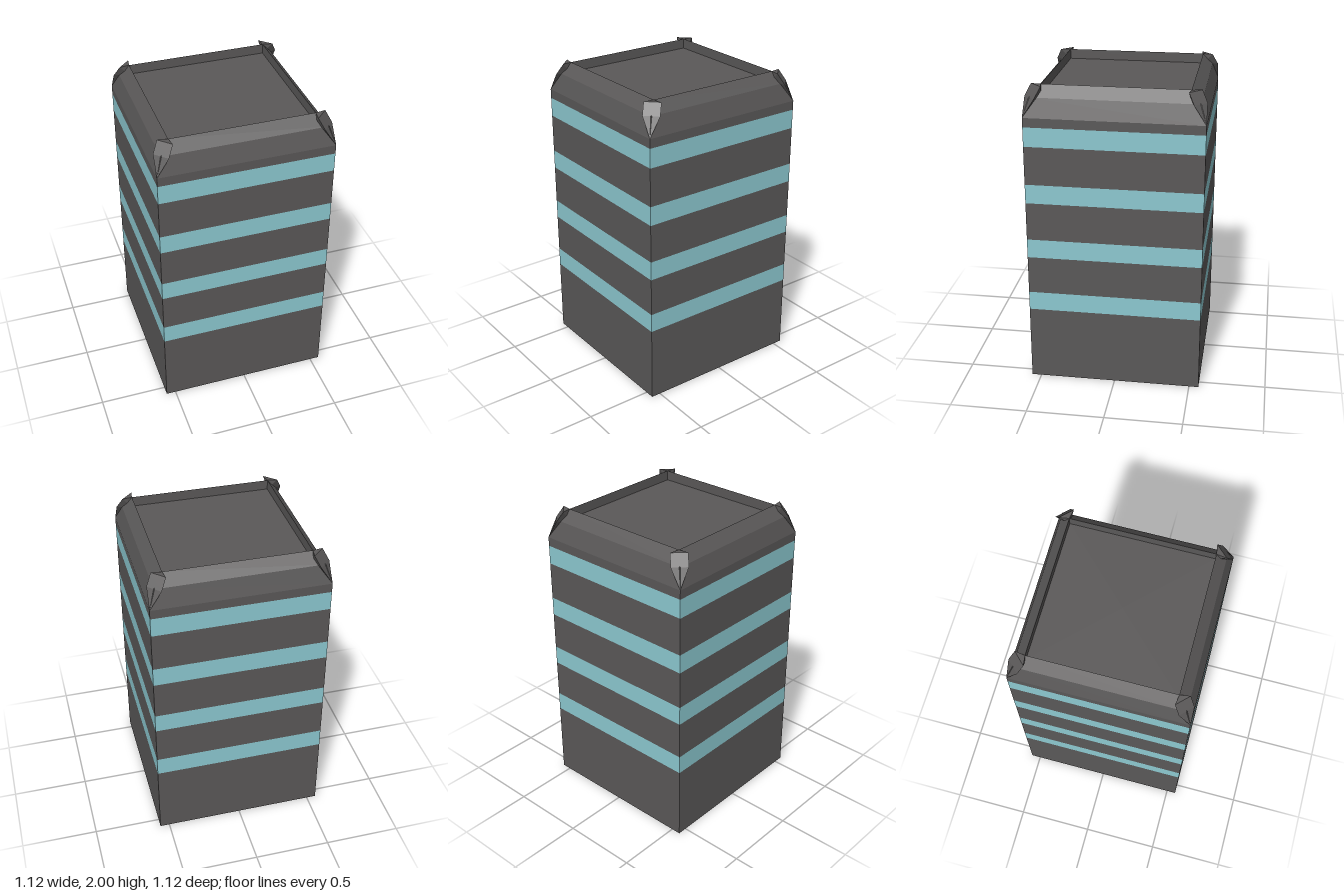
import * as THREE from 'three';
import { ConvexGeometry } from 'three/addons/geometries/ConvexGeometry.js';

const H = 0.5625; // half width of the tower
const wallMaterial = new THREE.MeshStandardMaterial({ color: 0x5a5858, flatShading: true });
const windowMaterial = new THREE.MeshStandardMaterial({ color: 0x8cc8d0, flatShading: true });

// Square shell swept from a [half width, height] profile
function squareShell(name, profile, material) {
  const points = profile.map(([h, y]) => new THREE.Vector2(h * Math.SQRT2, y));
  const geometry = new THREE.LatheGeometry(points, 4, Math.PI / 4).toNonIndexed();
  geometry.computeVertexNormals();
  const mesh = new THREE.Mesh(geometry, material);
  mesh.name = name;
  return mesh;
}

export function createModel() {
  const tower = new THREE.Group();
  tower.name = 'towerBlock';

  // Ground floor with its underside
  tower.add(squareShell('groundFloor', [[0, 0], [H, 0], [H, 0.5]], wallMaterial));

  // Window bands with wall storeys between them
  for (let i = 0; i < 4; i++) {
    const y = 0.5 + i * 0.375;
    tower.add(squareShell('windowBand', [[H, y], [H, y + 0.125]], windowMaterial));
    if (i < 3) tower.add(squareShell('wallStorey', [[H, y + 0.125], [H, y + 0.375]], wallMaterial));
  }

  // Sloped parapet around a sunken roof
  tower.add(squareShell('parapetAndRoof', [
    [H, 1.75], [H, 1.81], [0.525, 1.93], [0.46, 2], [0.46, 1.935], [0, 1.935],
  ], wallMaterial));

  // Faceted brackets over the parapet corners
  const bracket = new ConvexGeometry([
    [H, 1.81, H],
    [0.56, 1.93, 0.485], [0.485, 1.93, 0.56],
    [0.525, 2, 0.45], [0.45, 2, 0.525],
    [0.46, 2, 0.46], [0.46, 1.93, 0.46],
  ].map((p) => new THREE.Vector3(...p)));
  for (let i = 0; i < 4; i++) {
    const mesh = new THREE.Mesh(bracket, wallMaterial);
    mesh.name = 'cornerBracket';
    mesh.rotation.y = i * Math.PI / 2;
    tower.add(mesh);
  }
  return tower;
}
